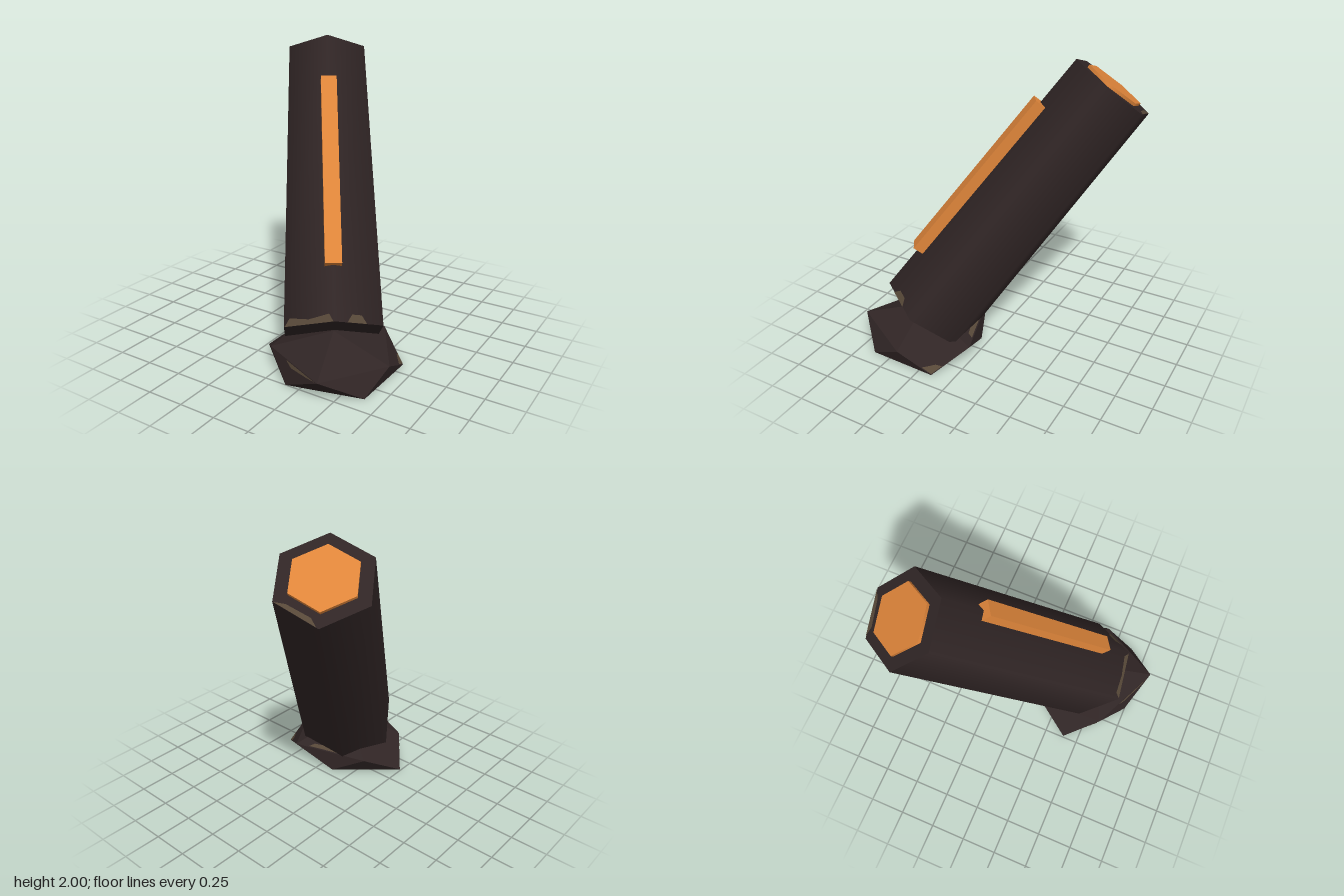
import * as THREE from 'three';

const V = (x, y, z) => new THREE.Vector3(x, y, z);

// Flat-shaded geometry from a list of triangles
function facets(tris) {
  const g = new THREE.BufferGeometry().setFromPoints(tris.flat());
  g.computeVertexNormals();
  return g;
}

export function createModel() {
  const model = new THREE.Group();
  const mat = (name, color) => Object.assign(new THREE.MeshStandardMaterial({ color }), { name });
  const darkStone = mat('darkStone', 0x302525);
  const orange = mat('glowOrange', 0xdf853a);
  const tan = mat('wornTan', 0x574838);
  tan.side = THREE.DoubleSide;

  const add = (parent, name, geo, material) => {
    const m = new THREE.Mesh(geo, material);
    m.name = name;
    parent.add(m);
    return m;
  };

  // Thin worn patch lying just outside a surface, facing away from centre
  function chip(parent, centre, points) {
    let p = points;
    const n = p[1].clone().sub(p[0]).cross(p[2].clone().sub(p[0])).normalize();
    if (n.dot(p[0].clone().sub(centre)) < 0) {
      n.negate();
      p = [...p].reverse();
    }
    p = p.map(q => q.clone().addScaledVector(n, 0.003));
    const tris = [];
    for (let i = 1; i < p.length - 1; i++) tris.push([p[0], p[i], p[i + 1]]);
    add(parent, 'wornPatch', facets(tris), tan);
  }

  // Leaning column: local y runs along the axis, local z to the upper ridge
  const foot = V(0.27, 0.24, 0.39), head = V(-0.40, 1.82, -0.60);
  const L = head.distanceTo(foot), rTop = 0.304, rBottom = 0.354;
  const axis = head.clone().sub(foot).normalize();
  const side = axis.clone().cross(V(0, 1, 0)).normalize().negate();
  const ridge = side.clone().cross(axis);
  const column = new THREE.Group();
  column.name = 'column';
  column.quaternion.setFromRotationMatrix(new THREE.Matrix4().makeBasis(side, axis, ridge));
  column.position.copy(foot).add(head).multiplyScalar(0.5);
  // Keep the ridge on the upper side
  if (ridge.y < 0) column.rotateY(Math.PI);
  model.add(column);

  add(column, 'shaft', new THREE.CylinderGeometry(rTop, rBottom, L, 6), darkStone);
  add(column, 'endPlate', new THREE.CylinderGeometry(0.215, 0.215, 0.04, 6), orange).position.y = L / 2;
  const strip = add(column, 'ridgeStrip', new THREE.BoxGeometry(0.105, 1.29, 0.12), orange);
  strip.position.z = 0.312;
  strip.rotation.x = -0.025;

  // Point on the shaft: corner number (may be fractional), height above foot, inset
  function onShaft(k, h, inset = 1) {
    const r = THREE.MathUtils.lerp(rBottom, rTop, h / L) * inset;
    const corner = i => V(Math.sin(i * Math.PI / 3) * r, h - L / 2, Math.cos(i * Math.PI / 3) * r);
    const i = Math.floor(k);
    return corner(i).lerp(corner(i + 1), k - i);
  }
  const o = V(0, 0, 0);
  chip(column, o, [onShaft(5.02, 0), onShaft(5.98, 0), onShaft(5.9, 0.05), onShaft(5.5, 0.03), onShaft(5.12, 0.05)]);
  chip(column, o, [onShaft(0.25, 0), onShaft(0.65, 0), onShaft(0.55, 0.05), onShaft(0.35, 0.05)]);
  chip(column, o, [onShaft(2.02, L), onShaft(2.95, L), onShaft(2.8, L, 0.88), onShaft(2.2, L, 0.9)]);

  // Faceted base rock: peak, shoulder ring, ground ring
  const peak = V(0.30, 0.27, 0.43);
  const shoulder = [V(0.44, 0.15, 0.84), V(0.685, 0.12, 0.40), V(0.43, 0.14, -0.015), V(-0.09, 0.13, 0.15), V(-0.06, 0.14, 0.61)];
  const ground = [V(0.64, 0, 0.63), V(0.655, 0, 0.15), V(0.14, 0, 0.06), V(-0.24, 0, 0.39), V(0.15, 0, 0.75)];
  const under = V(0.27, 0, 0.40);
  const tris = [];
  for (let i = 0; i < 5; i++) {
    const j = (i + 1) % 5;
    tris.push([peak, shoulder[i], shoulder[j]], [shoulder[i], ground[i], shoulder[j]],
      [shoulder[j], ground[i], ground[j]], [under, ground[j], ground[i]]);
  }
  add(model, 'baseRock', facets(tris), darkStone);

  // Worn patches on the rock, placed by weights on its triangles
  const mix = (t, ...w) => V(0, 0, 0).addScaledVector(t[0], w[0]).addScaledVector(t[1], w[1]).addScaledVector(t[2], w[2]);
  const rockChip = (t, weights) => chip(model, V(0.28, 0.08, 0.42), weights.map(w => mix(t, ...w)));
  rockChip([shoulder[0], shoulder[4], ground[4]], [[0.95, 0.03, 0.02], [0.35, 0.62, 0.03], [0.4, 0.4, 0.2], [0.75, 0.15, 0.1]]);
  rockChip([shoulder[4], ground[3], ground[4]], [[0.95, 0.04, 0.01], [0.6, 0.38, 0.02], [0.65, 0.2, 0.15]]);
  rockChip([shoulder[1], ground[1], shoulder[2]], [[0.02, 0.96, 0.02], [0.3, 0.68, 0.02], [0.15, 0.6, 0.25], [0.02, 0.68, 0.3]]);
  rockChip([peak, shoulder[2], shoulder[3]], [[0.02, 0.8, 0.18], [0.02, 0.3, 0.68], [0.12, 0.4, 0.48], [0.1, 0.7, 0.2]]);
  return model;
}
